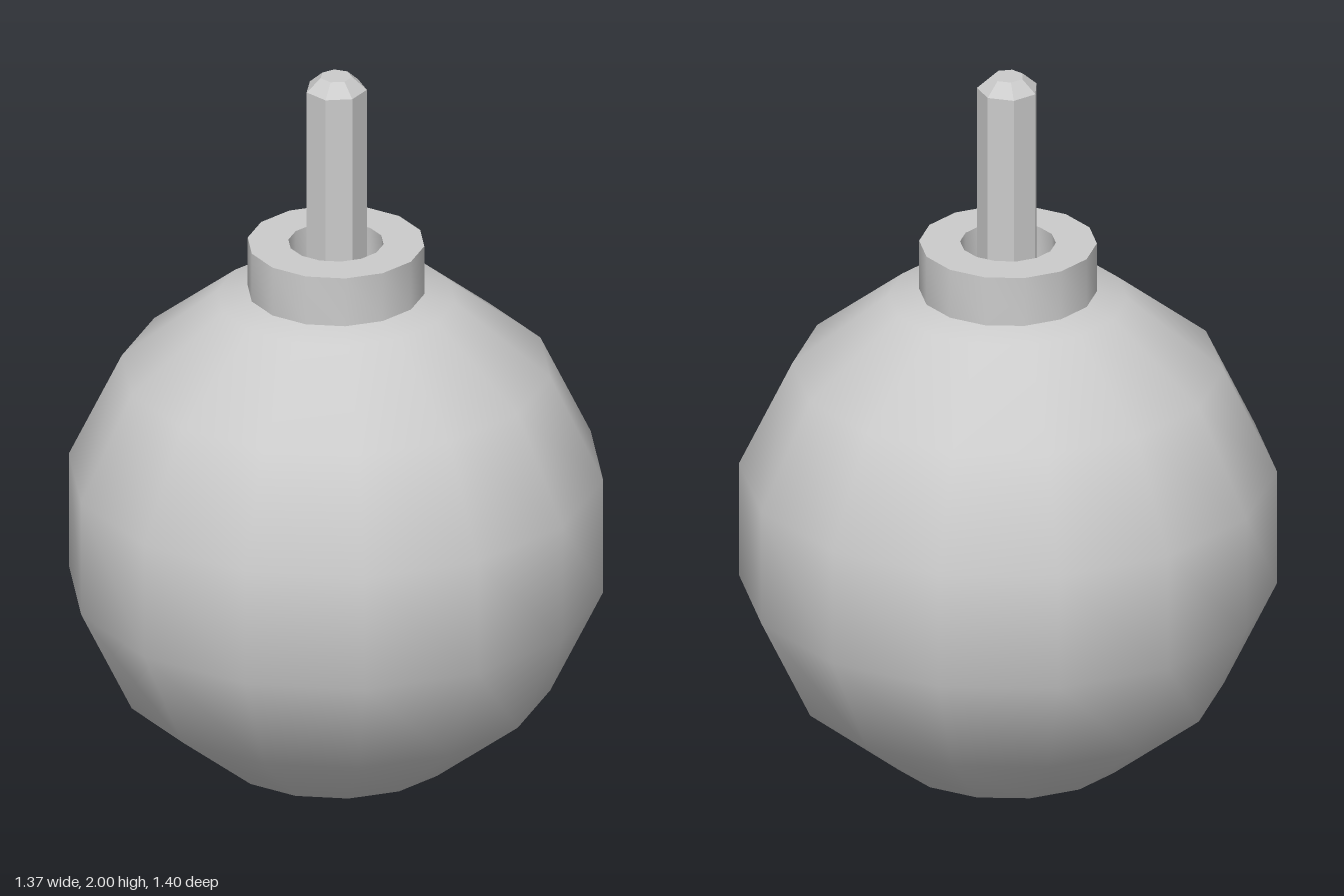
import * as THREE from 'three';
import { toCreasedNormals } from 'three/addons/utils/BufferGeometryUtils.js';

const profile = (pairs) => pairs.map(([r, y]) => new THREE.Vector2(r, y));

export function createModel() {
  const model = new THREE.Group();
  const smooth = new THREE.MeshStandardMaterial({ color: 0xcccccc });
  const faceted = new THREE.MeshStandardMaterial({ color: 0xcccccc, flatShading: true });

  const add = (name, geometry, material) => {
    const mesh = new THREE.Mesh(geometry, material);
    mesh.name = name;
    model.add(mesh);
    return mesh;
  };

  // Round body, a low-poly ball with corners facing front and back
  const ball = new THREE.SphereGeometry(0.72, 14, 7);
  ball.rotateY(Math.PI / 2);
  ball.translate(0, 0.72, 0);
  add('body', ball, smooth);

  // Ring-shaped collar around the opening on top
  const collar = new THREE.LatheGeometry(profile([
    [0.125, 1.388], [0.232, 1.388], [0.232, 1.525], [0.125, 1.525], [0.125, 1.388],
  ]), 14);
  add('collar', toCreasedNormals(collar, 0.6), smooth);

  // Seven-sided stem with a bevelled tip
  const stem = new THREE.LatheGeometry(profile([
    [0, 1.4], [0.081, 1.4], [0.081, 1.965], [0.042, 2], [0, 2],
  ]), 7);
  add('stem', stem, faceted);

  return model;
}
